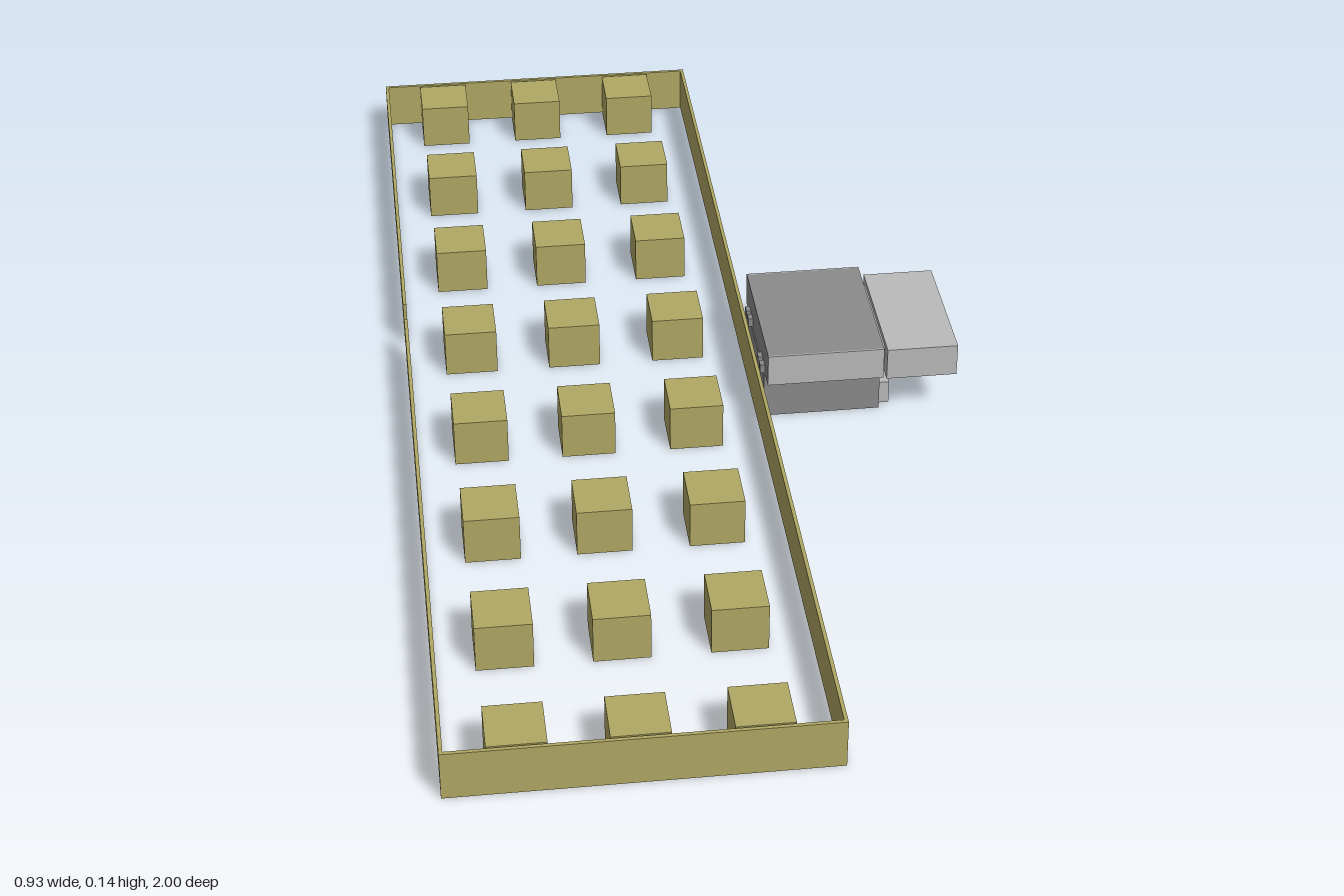
import * as THREE from 'three';

const olive = new THREE.MeshStandardMaterial({ color: 0xb0a864, name: 'olive' });
const lightGrey = new THREE.MeshStandardMaterial({ color: 0xbababa, name: 'lightGrey' });
const darkGrey = new THREE.MeshStandardMaterial({ color: 0x8b8b8b, name: 'darkGrey' });

// Box given by its limits on each axis
function block(name, material, [x0, x1], [y0, y1], [z0, z1]) {
  const mesh = new THREE.Mesh(new THREE.BoxGeometry(x1 - x0, y1 - y0, z1 - z0), material);
  mesh.position.set((x0 + x1) / 2, (y0 + y1) / 2, (z0 + z1) / 2);
  mesh.name = name;
  return mesh;
}

export function createModel() {
  const model = new THREE.Group();
  model.name = 'walledYard';

  // Thin perimeter wall, with a narrow gateway on the -x side
  const wall = new THREE.Group();
  wall.name = 'perimeterWall';
  const t = 0.006, h = [0, 0.084], x0 = -0.462, x1 = 0.135;
  wall.add(
    block('frontWall', olive, [x0, x1], h, [1 - t, 1]),
    block('backWall', olive, [x0, x1], h, [-1, -1 + t]),
    block('leftWall', olive, [x1 - t, x1], h, [-1 + t, 1 - t]),
    block('rightWallFront', olive, [x0, x0 + t], h, [-0.148, 1 - t]),
    block('rightWallBack', olive, [x0, x0 + t], h, [-1 + t, -0.195]),
  );
  model.add(wall);

  // Grid of cube huts inside the wall
  const huts = new THREE.Group();
  huts.name = 'huts';
  for (const x of [-0.349, -0.168, 0.015]) {
    for (let i = 0; i < 8; i++) {
      const z = (i - 3.5) * 0.27;
      huts.add(block('hut', olive, [x - 0.045, x + 0.045], [0, 0.083], [z - 0.045, z + 0.045]));
    }
  }
  model.add(huts);

  // Gatehouse: body, overhanging upper storey with light end panels, canopy
  const house = new THREE.Group();
  house.name = 'gatehouse';
  house.add(
    block('body', darkGrey, [0.141, 0.342], [0, 0.083], [-0.1, 0.1]),
    block('upperStorey', darkGrey, [0.143, 0.342], [0.083, 0.141], [-0.131, 0.127]),
    block('canopy', lightGrey, [0.347, 0.468], [0.083, 0.141], [-0.107, 0.134]),
    block('canopyJoint', lightGrey, [0.342, 0.347], [0.093, 0.131], [-0.09, 0.11]),
    block('step', lightGrey, [0.342, 0.362], [0, 0.042], [0.036, 0.085]),
    block('endPanelFront', lightGrey, [0.143, 0.342], [0.083, 0.141], [0.127, 0.13]),
    block('endPanelBack', lightGrey, [0.143, 0.342], [0.083, 0.141], [-0.134, -0.131]),
  );
  // Small brackets joining the house to the wall
  for (const z of [-0.085, -0.06, 0.06, 0.085]) {
    house.add(
      block('lowerBracket', darkGrey, [0.135, 0.142], [0, 0.018], [z - 0.008, z + 0.008]),
      block('upperBracket', darkGrey, [0.135, 0.144], [0.084, 0.1], [z - 0.008, z + 0.008]),
    );
  }
  model.add(house);
  return model;
}
